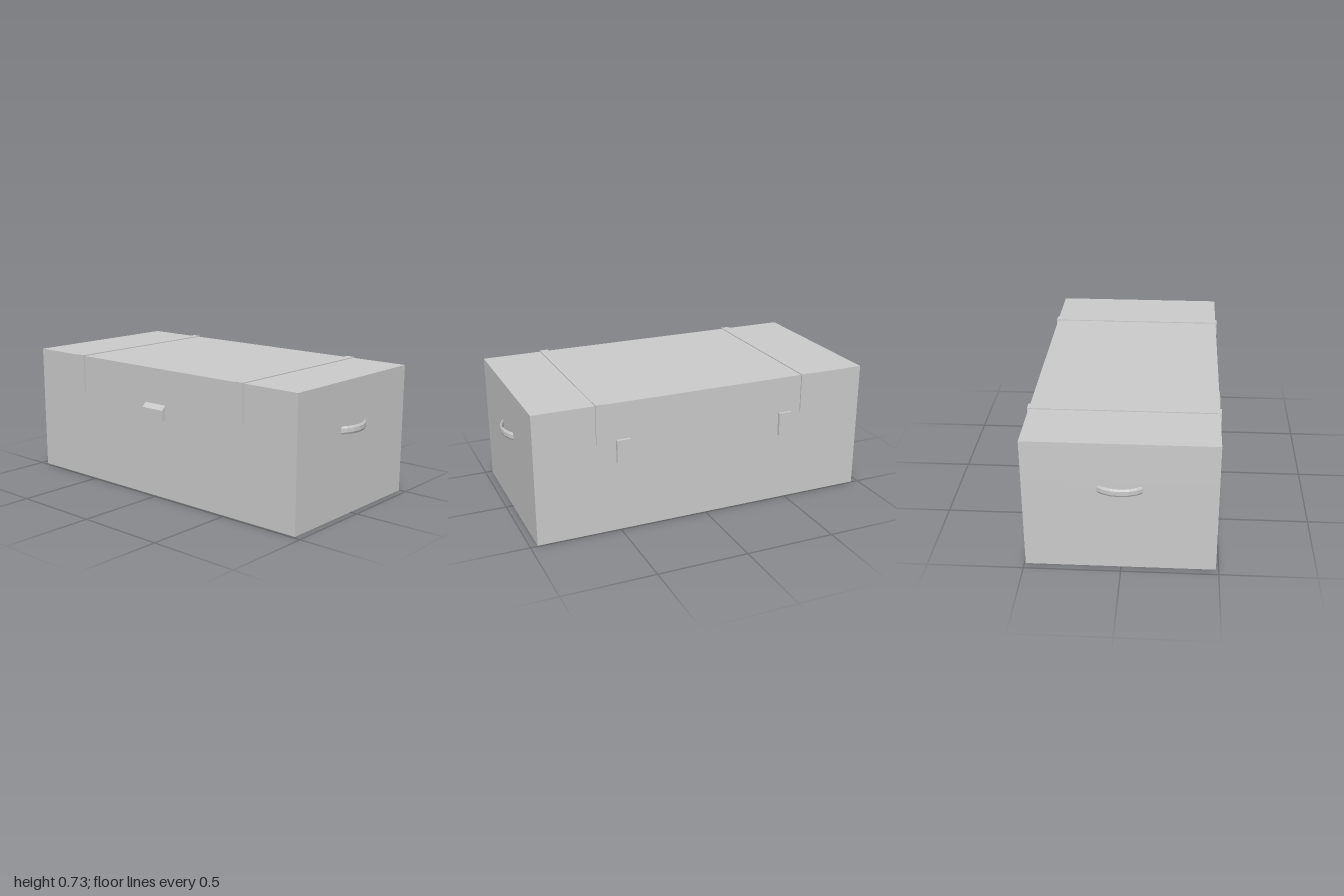
import * as THREE from 'three';

const material = new THREE.MeshStandardMaterial({ color: 0xcccccc, flatShading: true });
const MID_Z = -0.004; // middle of the chest in depth
const SEAM_Y = 0.507;

export function createModel() {
  const model = new THREE.Group();
  model.name = 'trunk';

  const add = (name, geometry) => {
    const mesh = new THREE.Mesh(geometry, material);
    mesh.name = name;
    model.add(mesh);
    return mesh;
  };
  // Box given by its centre x, width, and its y and z ranges
  const box = (name, x, w, y0, y1, z0, z1) => {
    const mesh = add(name, new THREE.BoxGeometry(w, y1 - y0, z1 - z0));
    mesh.position.set(x, (y0 + y1) / 2, (z0 + z1) / 2);
    return mesh;
  };

  // Chest and lid
  box('body', 0, 1.92, 0, SEAM_Y, -0.494, 0.486);
  box('lid', 0, 1.92, SEAM_Y, 0.723, -0.494, 0.486);

  // Straps around the lid and hinges at the back
  for (const side of [1, -1]) {
    const prefix = side > 0 ? 'left' : 'right';
    box(prefix + 'Strap', side * 0.6, 0.05, SEAM_Y + 0.001, 0.728, -0.502, 0.494);
    box(prefix + 'Hinge', side * 0.478, 0.076, 0.39, 0.52, -0.511, -0.48);
  }

  // Front latch: side profile with a sloping top, extruded across x
  const profile = new THREE.Shape([
    new THREE.Vector2(0.47, 0.442),
    new THREE.Vector2(0.511, 0.442),
    new THREE.Vector2(0.511, 0.502),
    new THREE.Vector2(0.486, 0.526),
    new THREE.Vector2(0.47, 0.526),
  ]);
  const latch = new THREE.ExtrudeGeometry(profile, { depth: 0.15, bevelEnabled: false });
  latch.translate(0, 0, -0.075).rotateY(-Math.PI / 2);
  // the turn sends profile x to +z
  add('latch', latch);

  // Carrying handles: bowed bands with chamfered edges
  const bow = new THREE.Shape();
  const half = 0.7;
  const steps = 6;
  const arc = (radius, from, to) => Array.from({ length: steps + 1 }, (_, i) => {
    const a = from + (to - from) * i / steps;
    return new THREE.Vector2(0.804 + radius * Math.cos(a), radius * Math.sin(a));
  });
  bow.setFromPoints([...arc(0.191, -half, half), ...arc(0.187, half, -half)]);
  const handleGeometry = new THREE.ExtrudeGeometry(bow, {
    depth: 0.022, bevelThickness: 0.01, bevelSize: 0.005, bevelSegments: 1,
  });
  handleGeometry.translate(0, 0, -0.011).rotateX(-Math.PI / 2);
  for (const side of [1, -1]) {
    const handle = add(side > 0 ? 'leftHandle' : 'rightHandle', handleGeometry);
    handle.position.set(0, 0.466, MID_Z);
    if (side < 0) handle.rotation.y = Math.PI;
  }

  return model;
}
